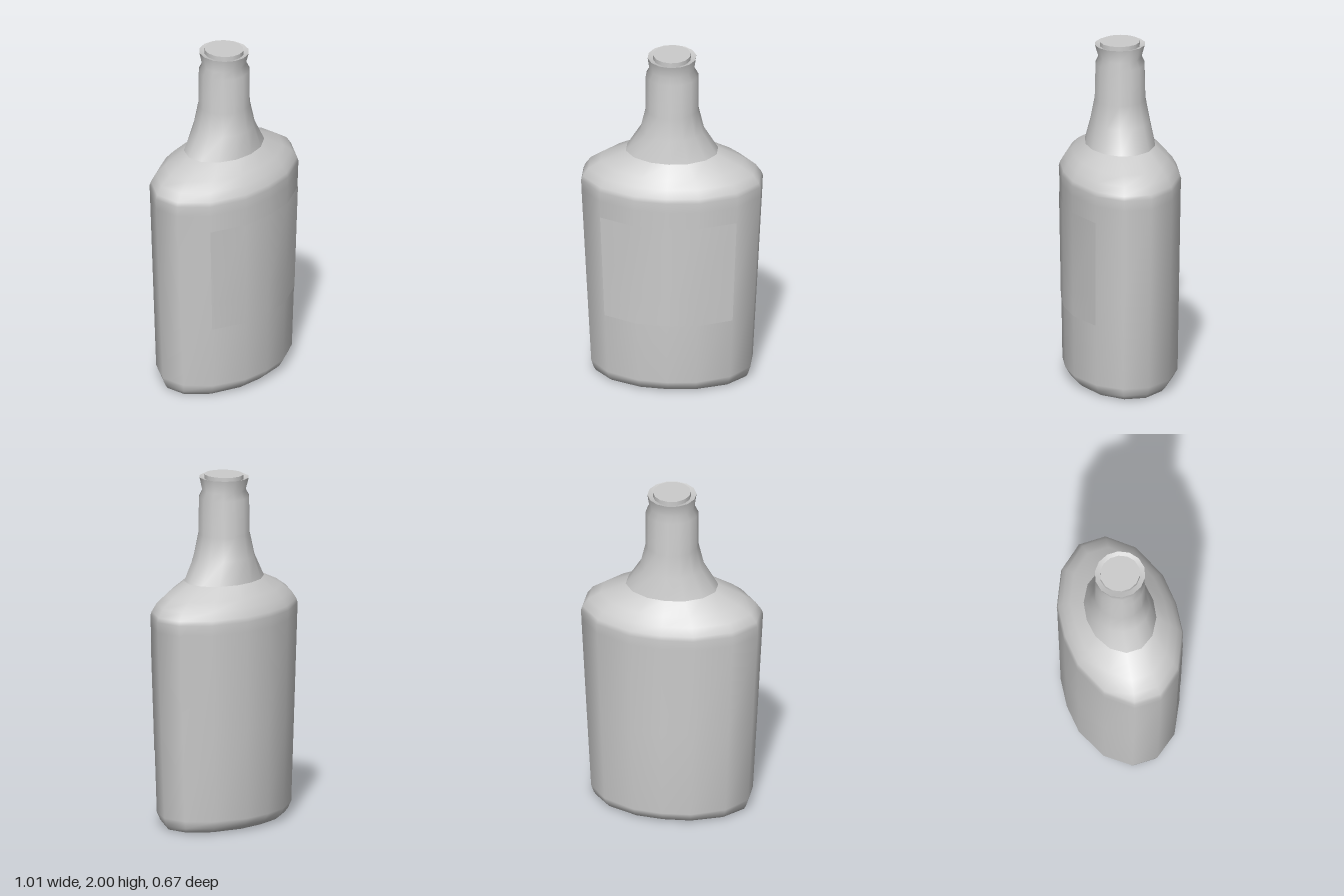
import * as THREE from 'three';

// Quarter cross-section, from the middle of the front round to the left side:
// a flattened outline for the body, a regular 14-gon for the neck.
const FLAT = [[0, 1], [0.365, 0.945], [0.77, 0.665], [1, 0.235]];
const ROUND = [0, 1, 2, 3].map((i) => {
  const a = (i * Math.PI * 2) / 14;
  return [Math.sin(a) / 0.975, Math.cos(a)];
});

// Full 14-point outline; flat = 1 gives the body outline, 0 the round one
function outline(flat) {
  const q = FLAT.map(([x, z], i) => [
    THREE.MathUtils.lerp(ROUND[i][0], x, flat),
    THREE.MathUtils.lerp(ROUND[i][1], z, flat),
  ]);
  const right = q.concat(q.slice().reverse().map(([x, z]) => [x, -z]));
  const left = right.slice(1, -1).reverse().map(([x, z]) => [-x, z]);
  return right.concat(left);
}

// Skin over rings [y, halfWidth, halfDepth, flat], listed bottom to top
function loft(rings, pick = (o) => o, closed = true) {
  const pos = [], index = [];
  let n = 0;
  for (const [y, hx, hz, flat] of rings) {
    const pts = pick(outline(flat));
    n = pts.length;
    for (const [x, z] of pts) pos.push(x * hx, y, z * hz);
  }
  for (let r = 0; r < rings.length - 1; r++) {
    for (let j = 0; j < (closed ? n : n - 1); j++) {
      const k = (j + 1) % n;
      const a = r * n + j, b = r * n + k, c = b + n, d = a + n;
      index.push(a, b, c, a, c, d);
    }
  }
  const g = new THREE.BufferGeometry();
  g.setAttribute('position', new THREE.Float32BufferAttribute(pos, 3));
  g.setIndex(index);
  g.computeVertexNormals();
  return g;
}

export function createModel() {
  const group = new THREE.Group();
  const glass = new THREE.MeshStandardMaterial({ color: 0xcccccc, side: THREE.DoubleSide });
  const paper = new THREE.MeshStandardMaterial({ color: 0xf4f4f4, side: THREE.DoubleSide });
  const add = (name, geometry, material = glass) => {
    const mesh = new THREE.Mesh(geometry, material);
    mesh.name = name;
    group.add(mesh);
    return mesh;
  };

  // Base, tapered body and rounded shoulder
  add('body', loft([
    [0.005, 0, 0, 1],
    [0.012, 0.425, 0.262, 1],
    [0.035, 0.437, 0.288, 1],
    [0.08, 0.45, 0.315, 1],
    [0.6, 0.477, 0.322, 1],
    [1.16, 0.505, 0.33, 1],
    [1.22, 0.507, 0.333, 1],
    [1.245, 0.498, 0.325, 1],
    [1.29, 0.467, 0.3, 1],
    [1.335, 0.4, 0.262, 0.9],
    [1.4, 0.257, 0.197, 0.4],
  ]));

  // Neck, flaring into the shoulder below and pinched under the mouth
  add('neck', loft([
    [1.4, 0.257, 0.197, 0.4],
    [1.53, 0.177, 0.17, 0.1],
    [1.66, 0.147, 0.146, 0],
    [1.87, 0.146, 0.141, 0],
    [1.91, 0.125, 0.122, 0],
    [1.985, 0.135, 0.144, 0],
  ]));

  // Lip around the stopper
  add('lip', loft([
    [1.985, 0.135, 0.144, 0],
    [1.975, 0.105, 0.114, 0],
  ]));

  // Stopper disc
  const stopper = add('stopper', new THREE.CylinderGeometry(1, 1, 0.04, 14));
  stopper.scale.set(0.107, 1, 0.114);
  stopper.position.y = 1.98;

  // Label wrapped over the front facets
  const front = (o) => [o[12], o[13], o[0], o[1], o[2]];
  add('label', loft([
    [0.44, 0.471, 0.323, 1],
    [0.6, 0.479, 0.325, 1],
    [1.06, 0.502, 0.332, 1],
  ], front, false), paper);

  return group;
}
